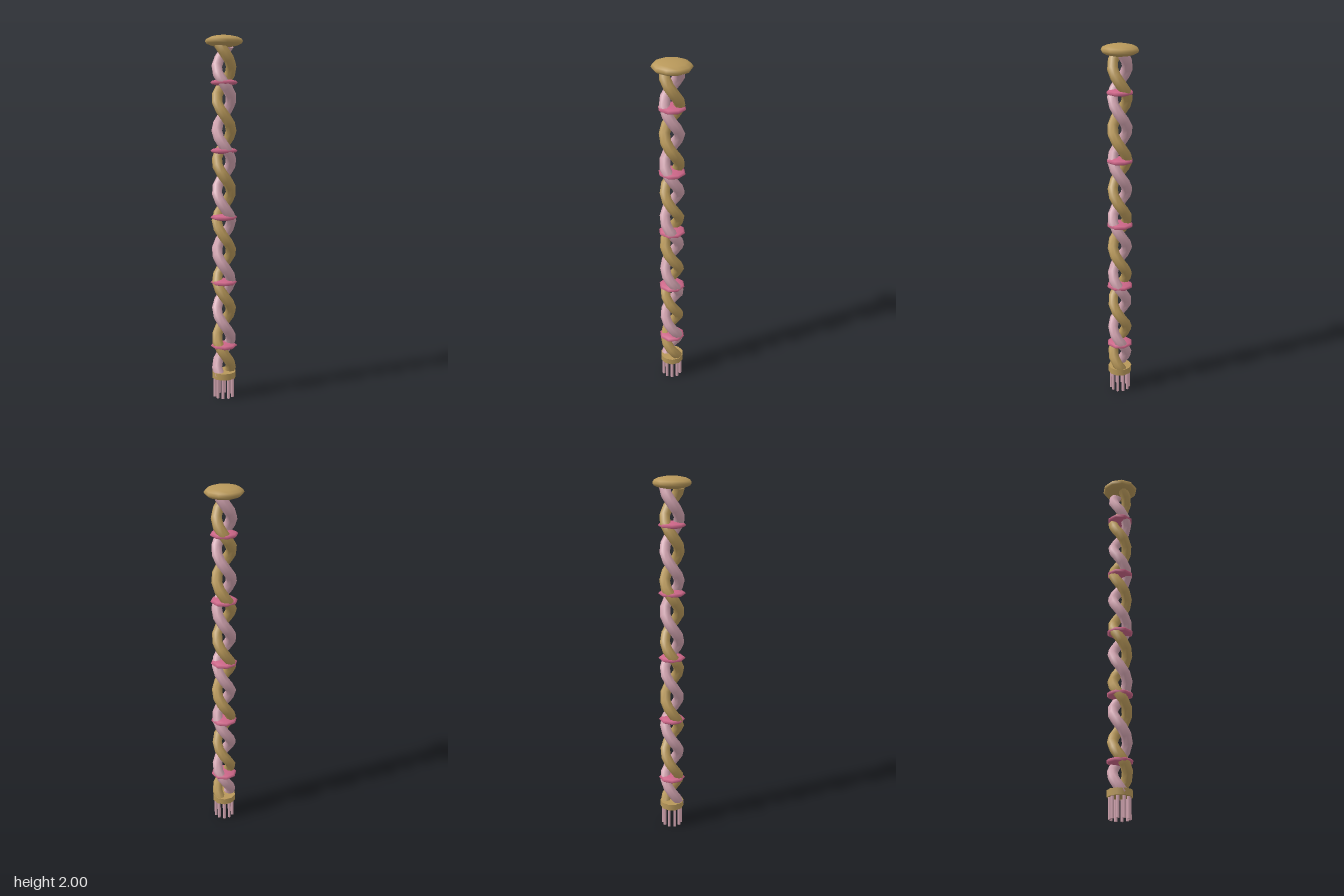
import * as THREE from 'three';

const mat = (name, color, side = THREE.FrontSide) => {
  const m = new THREE.MeshStandardMaterial({ color, side });
  m.name = name;
  return m;
};

// Helical centre line of one strand, running from the collar up to the cap
class Helix extends THREE.Curve {
  constructor(phase) {
    super();
    this.phase = phase;
  }
  getPoint(t, target = new THREE.Vector3()) {
    const a = this.phase + t * 5.5 * Math.PI * 2;
    return target.set(0.039 * Math.cos(a), 0.13 + 1.82 * t, 0.039 * Math.sin(a));
  }
}

export function createModel() {
  const model = new THREE.Group();
  const gold = mat('gold', 0xb8985a, THREE.DoubleSide);
  const palePink = mat('palePink', 0xd2a4b0, THREE.DoubleSide);
  const rose = mat('rose', 0xcc6688);

  const add = (name, geometry, material, y = 0) => {
    const mesh = new THREE.Mesh(geometry, material);
    mesh.name = name;
    mesh.position.y = y;
    model.add(mesh);
    return mesh;
  };

  // Two twisted strands on opposite sides of the axis
  add('goldStrand', new THREE.TubeGeometry(new Helix(0), 48, 0.029, 8), gold);
  add('pinkStrand', new THREE.TubeGeometry(new Helix(Math.PI), 48, 0.029, 8), palePink);

  // Flattened beads spaced along the twist
  for (let i = 0; i < 5; i++) {
    const bead = new THREE.SphereGeometry(0.074, 8, 6).scale(1, 0.25, 1);
    add('bead' + (i + 1), bead, rose, 0.295 + i * 0.364);
  }

  // Flattened ten-sided cap
  const cap = new THREE.SphereGeometry(0.1, 10, 8).rotateY(Math.PI / 10).scale(1.05, 0.325, 1);
  add('cap', cap, gold, 1.9675);

  // Collar holding the tassel
  const collar = new THREE.CylinderGeometry(0.067, 0.067, 0.036, 10).rotateY(Math.PI / 10);
  add('collar', collar, gold, 0.129);

  // Ring of tassel threads
  const tassel = new THREE.Group();
  tassel.name = 'tassel';
  const threadGeometry = new THREE.CylinderGeometry(0.009, 0.009, 0.115, 6);
  for (let i = 0; i < 10; i++) {
    const a = (i / 10) * Math.PI * 2;
    const thread = new THREE.Mesh(threadGeometry, palePink);
    thread.name = 'thread' + (i + 1);
    thread.position.set(0.051 * Math.cos(a), 0.0575, 0.051 * Math.sin(a));
    tassel.add(thread);
  }
  model.add(tassel);

  return model;
}
